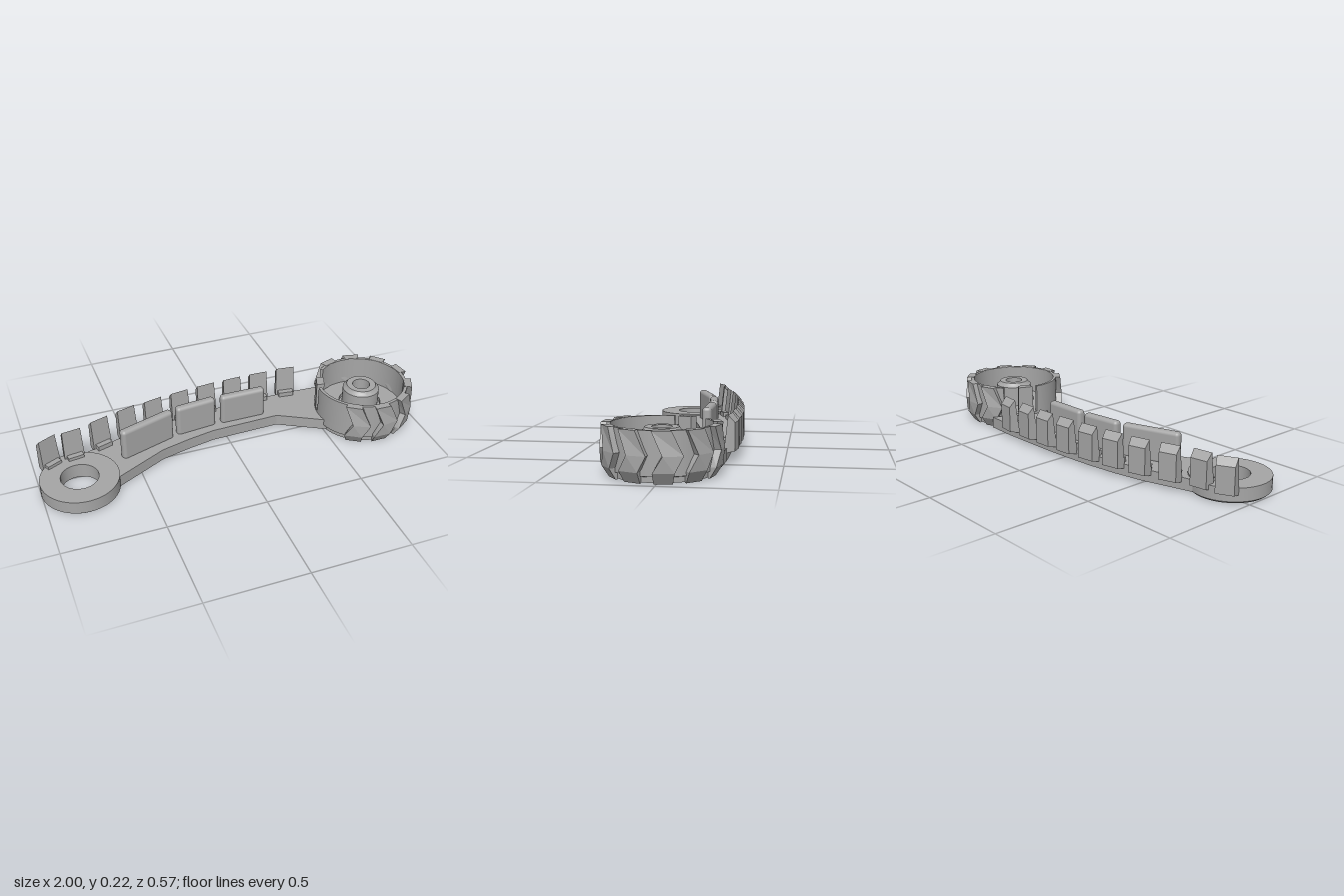
import * as THREE from 'three';
import { toCreasedNormals } from 'three/addons/utils/BufferGeometryUtils.js';
import { RoundedBoxGeometry } from 'three/addons/geometries/RoundedBoxGeometry.js';

const WHEEL = [0.73, 0.016];
const RING = [-0.81, 0.09];
const rad = THREE.MathUtils.degToRad;

export function createModel() {
  const model = new THREE.Group();
  model.name = 'trackArm';
  const grey = new THREE.MeshStandardMaterial({ color: 0xa6a6a6 });
  grey.name = 'grey';

  const add = (name, geometry, x = 0, y = 0, z = 0, turn = 0, parent = model) => {
    const mesh = new THREE.Mesh(geometry, grey);
    mesh.name = name;
    mesh.position.set(x, y, z);
    mesh.rotation.y = rad(turn);
    parent.add(mesh);
    return mesh;
  };
  const vectors = (points) => points.map(([a, b]) => new THREE.Vector2(a, b));
  const plan = (points) => vectors(points.map(([x, z]) => [x, -z]));
  const lathe = (points) =>
    toCreasedNormals(new THREE.LatheGeometry(vectors(points), 56), 0.5);
  const slab = (shape, height) => {
    const g = new THREE.ExtrudeGeometry(shape, { depth: height, bevelEnabled: false, curveSegments: 56 });
    return toCreasedNormals(g.rotateX(-Math.PI / 2), 0.4);
  };

  // Arm outline as front and back edges (x, z)
  const front = [[-0.63, 0.15], [-0.37, 0.02], [-0.22, -0.018], [-0.08, -0.045], [0.28, -0.055], [0.49, 0.065]];
  const back = [[-0.92, -0.045], [-0.7, -0.105], [-0.5, -0.165], [-0.35, -0.195], [-0.2, -0.215],
    [-0.05, -0.227], [0.1, -0.234], [0.3, -0.236], [0.45, -0.236], [0.6, -0.228]];
  const outline = [...back, [0.55, -0.12], [0.53, 0.03], [0.515, 0.075], ...front.slice().reverse(),
    [-0.67, 0.04], [-0.73, -0.025], [-0.82, -0.045]];
  const edgeAt = (edge, x) => {
    const i = Math.max(1, edge.findIndex((p) => p[0] >= x));
    const [a, b] = [edge[i - 1], edge[i]];
    return a[1] + ((b[1] - a[1]) * (x - a[0])) / (b[0] - a[0]);
  };

  // Deck plate over a ribbed frame with shallow pockets underneath
  add('armDeck', slab(new THREE.Shape(plan(outline)), 0.041), 0, 0.026, 0);
  const frame = new THREE.Shape(plan(outline));
  for (const [x0, x1] of [[-0.59, -0.3], [-0.27, 0.11], [0.14, 0.45]]) {
    const xs = [0, 0.25, 0.5, 0.75, 1].map((t) => x0 + (x1 - x0) * t);
    const near = xs.map((x) => [x, edgeAt(front, x) - 0.028]);
    const far = xs.map((x) => [x, edgeAt(back, x) + 0.028]).reverse();
    frame.holes.push(new THREE.Path(plan([...near, ...far])));
  }
  add('armFrame', slab(frame, 0.018), 0, 0.008, 0);

  // End ring with a grooved underside
  add('endRing', lathe([[0.093, 0], [0.112, 0], [0.117, 0.018], [0.155, 0.018], [0.16, 0], [0.182, 0],
    [0.193, 0.01], [0.193, 0.075], [0.093, 0.075], [0.093, 0]]), RING[0], 0, RING[1]);

  // Guide plates standing on the deck
  for (const [x, z, length, turn] of [[-0.432, -0.04, 0.3, 18], [-0.155, -0.105, 0.215, 6], [0.105, -0.113, 0.24, 0]]) {
    add('guidePlate', new RoundedBoxGeometry(length, 0.17, 0.045, 3, 0.018), x, 0.14, z, turn);
  }

  // Track pad: a box with a chamfered outer face and an inner face leaning outward
  let pad = new THREE.BoxGeometry(0.104, 0.18, 0.052);
  const p = pad.attributes.position;
  for (let i = 0; i < p.count; i++) {
    const upper = p.getY(i) > 0;
    if (p.getZ(i) < 0) {
      p.setX(i, p.getX(i) * 0.84);
      p.setY(i, upper ? 0.055 : -0.078);
    } else if (upper) {
      p.setX(i, p.getX(i) * 0.92);
      p.setZ(i, 0.006);
    }
  }
  pad = pad.toNonIndexed();
  pad.computeVertexNormals();
  const foot = new THREE.BoxGeometry(0.08, 0.03, 0.035);
  const pads = [[-0.925, -0.074, 26], [-0.8, -0.096, 8], [-0.65, -0.142, 18], [-0.5, -0.186, 15], [-0.35, -0.213, 12],
    [-0.2, -0.234, 8], [-0.05, -0.249, 5], [0.1, -0.256, 2], [0.25, -0.256, -2], [0.405, -0.253, -7]];
  for (const [x, z, turn] of pads) {
    const group = new THREE.Group();
    group.name = 'trackPad';
    group.position.set(x, 0, z);
    group.rotation.y = rad(turn);
    add('padBlock', pad, 0, 0.132, 0, 0, group);
    add('padFoot', foot, 0, 0.076, 0.032, 0, group);
    model.add(group);
  }

  // Wheel: base, raised boss and stepped underside in one profile
  const wheel = new THREE.Group();
  wheel.name = 'wheel';
  wheel.position.set(WHEEL[0], 0, WHEEL[1]);
  model.add(wheel);
  add('wheelBase', lathe([[0.045, 0.1], [0.11, 0.1], [0.11, 0.03], [0.14, 0.03], [0.155, 0.01], [0.185, 0.01],
    [0.19, 0.03], [0.205, 0.03], [0.21, 0.004], [0.225, 0.004], [0.225, 0.028], [0.238, 0.032], [0.238, 0.08],
    [0.095, 0.08], [0.095, 0.185], [0.082, 0.195], [0.076, 0.206], [0.045, 0.206], [0.045, 0.1]]), 0, 0, 0, 0, wheel);

  // Tyre wall, open towards the arm
  const wall = new THREE.Shape();
  wall.absarc(0, 0, 0.238, rad(-185), rad(130), false);
  wall.absarc(0, 0, 0.222, rad(130), rad(-185), true);
  add('tyreWall', slab(wall, 0.148), 0, 0.075, 0, 0, wheel);

  // Tread block from rows of [height, outer radius, angular shift, half width]
  const tread = (angle, rows, inner) => {
    const loops = rows.map(([y, r, shift, half]) => {
      const a = angle + shift;
      return [[inner, a - half], [r, a - half], [r, a + half], [inner, a + half]]
        .map(([q, t]) => [q * Math.cos(t), y, q * Math.sin(t)]);
    });
    const out = [];
    const quad = (a, b, c, d) => out.push(...a, ...b, ...c, ...a, ...c, ...d);
    for (let i = 0; i + 1 < loops.length; i++) {
      for (let j = 0; j < 4; j++) {
        const k = (j + 1) % 4;
        quad(loops[i][j], loops[i + 1][j], loops[i + 1][k], loops[i][k]);
      }
    }
    const [low, top] = [loops[0], loops[loops.length - 1]];
    quad(low[0], low[1], low[2], low[3]);
    quad(top[0], top[3], top[2], top[1]);
    const g = new THREE.BufferGeometry();
    g.setAttribute('position', new THREE.Float32BufferAttribute(out, 3));
    g.computeVertexNormals();
    return g;
  };

  // Chevron treads round the free side of the wheel
  const chevron = [[0, 0.235, 0.15, 0.17], [0.05, 0.267, 0.15, 0.175], [0.12, 0.271, 0, 0.165], [0.225, 0.264, 0.18, 0.16]];
  for (let i = -4; i <= 3; i++) {
    add('tread', tread(0.245 + i * 0.585, chevron, 0.226), 0, 0, 0, 0, wheel);
  }
  // Plain block where the arm meets the wheel
  add('innerTread', tread(rad(201), [[0.06, 0.24, 0, 0.18], [0.225, 0.24, 0, 0.16]], 0.2), 0, 0, 0, 0, wheel);

  return model;
}
